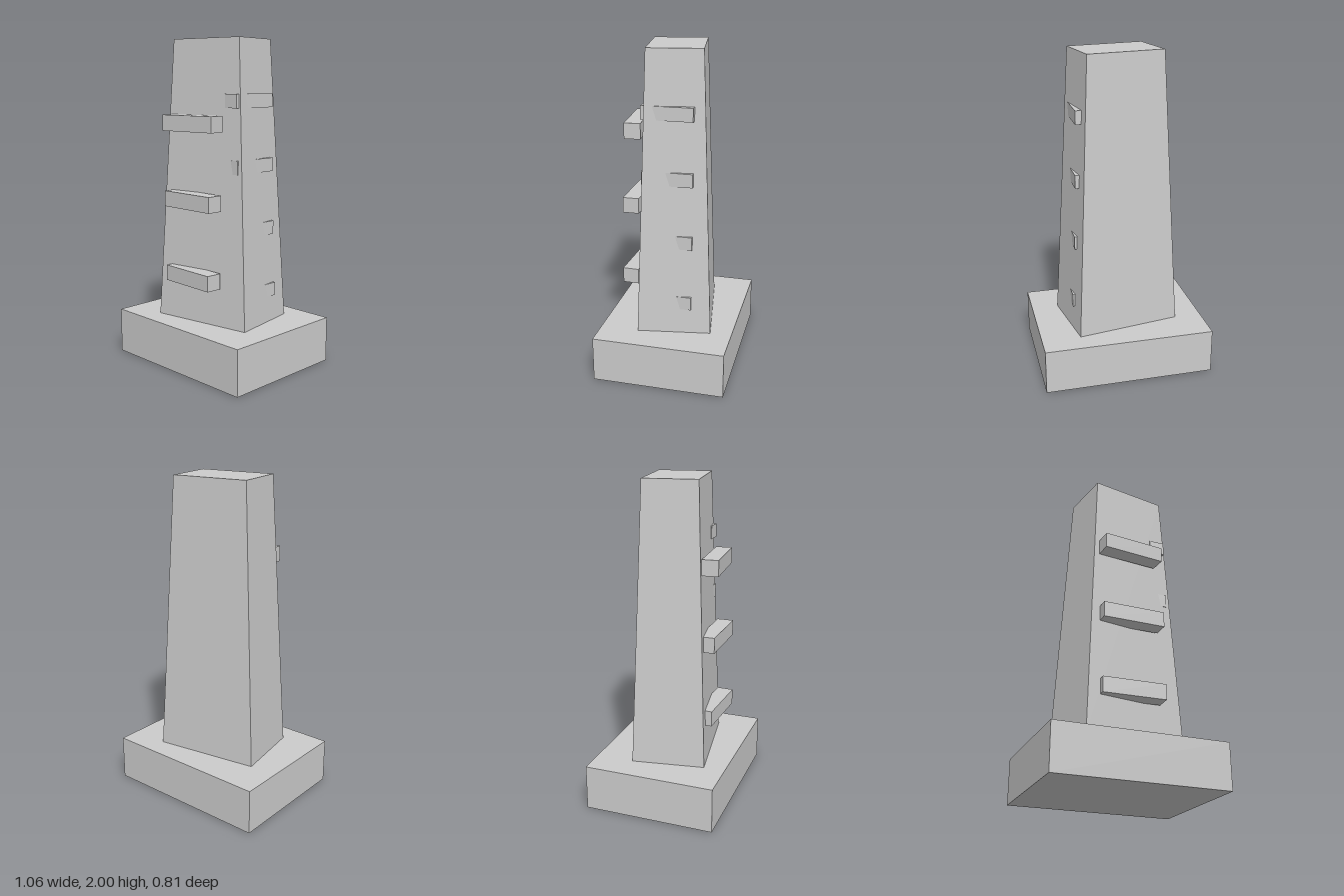
import * as THREE from 'three';

export function createModel() {
  const model = new THREE.Group();
  const material = new THREE.MeshStandardMaterial({ color: 0xcccccc, flatShading: true });

  function addBox(name, size, position, turn = 0) {
    const mesh = new THREE.Mesh(new THREE.BoxGeometry(...size), material);
    mesh.name = name;
    mesh.position.set(...position);
    mesh.rotation.y = turn;
    model.add(mesh);
    return mesh;
  }

  // Square-cut plinth
  addBox('base', [1.056, 0.28, 0.81], [0, 0.14, 0]);

  // Tapered tower, turned slightly on the plinth
  const tower = addBox('tower', [0.654, 1.72, 0.449], [0, 1.14, 0], 0.162);
  const p = tower.geometry.attributes.position;
  for (let i = 0; i < p.count; i++) {
    if (p.getY(i) > 0) {
      p.setX(i, p.getX(i) * 0.735);
      p.setZ(i, p.getZ(i) * 0.735);
    }
  }
  tower.geometry.computeVertexNormals();

  // Front rungs, each at its own small angle: [height, turn]
  [[0.567, -0.045], [1.037, 0], [1.502, 0.09]].forEach(([y, turn], i) =>
    addBox(`frontRung${i + 1}`, [0.388, 0.096, 0.1], [-0.002, y, 0.25], turn));

  // Side rungs, mostly sunk into the tower: [height, outer face x]
  [[0.475, 0.309], [0.862, 0.291], [1.25, 0.281], [1.636, 0.274]].forEach(([y, x], i) =>
    addBox(`sideRung${i + 1}`, [0.096, 0.082, 0.31], [x - 0.048, y, 0]));

  return model;
}
